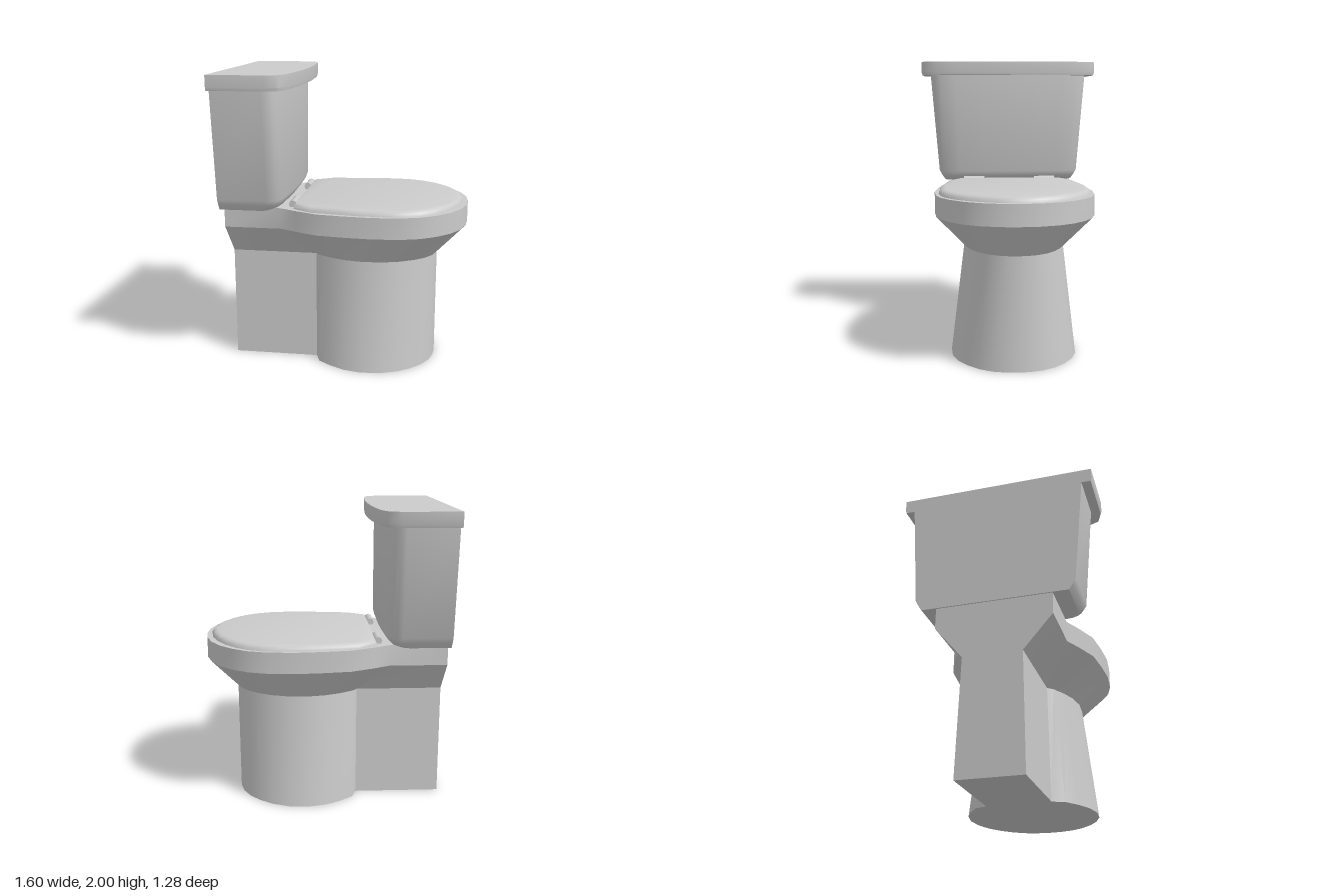
import * as THREE from 'three';
import { toCreasedNormals } from 'three/addons/utils/BufferGeometryUtils.js';

const material = new THREE.MeshStandardMaterial({ color: 0xcccccc });

// Half outline [x, z] from back to front, mirrored across z = 0
function mirrored(half) {
  const other = half.filter(([, z]) => z > 0).reverse().map(([x, z]) => [x, -z]);
  return [...half, ...other];
}

// Closed solid through stacked outlines: sections = [[y, halfOutline], ...]
function loft(name, sections, crease) {
  const rings = sections.map(([y, half]) => mirrored(half).map(([x, z]) => [x, y, z]));
  const n = rings[0].length;
  const positions = rings.flat(2);
  const index = [];
  for (let r = 0; r < rings.length - 1; r++) {
    for (let i = 0; i < n; i++) {
      const j = (i + 1) % n;
      const a = r * n + i, b = r * n + j, c = b + n, d = a + n;
      index.push(a, b, c, a, c, d);
    }
  }
  const cap = (ring) => THREE.ShapeUtils.triangulateShape(
    ring.map(([x, , z]) => new THREE.Vector2(x, -z)), []);
  const top = (rings.length - 1) * n;
  for (const [a, b, c] of cap(rings[0])) index.push(a, c, b);
  for (const [a, b, c] of cap(rings[rings.length - 1])) index.push(top + a, top + b, top + c);

  const geometry = new THREE.BufferGeometry();
  geometry.setAttribute('position', new THREE.Float32BufferAttribute(positions, 3));
  geometry.setIndex(index);
  const mesh = new THREE.Mesh(toCreasedNormals(geometry, crease), material);
  mesh.name = name;
  return mesh;
}

// Outline widened or narrowed about the back plane, to a given half width and front
function fit(half, width, front, back = half[0][0]) {
  const x0 = half[0][0];
  const x1 = half[half.length - 1][0];
  const maxZ = Math.max(...half.map((p) => p[1]));
  return half.map(([x, z]) => [back + (x - x0) * (front - back) / (x1 - x0), z * width / maxZ]);
}

export function createModel() {
  const group = new THREE.Group();

  // Pedestal: narrow back block running into a rounded column
  const foot = [[-0.8, 0.21], [-0.22, 0.21], [-0.19, 0.29], [-0.1, 0.355], [0, 0.405], [0.12, 0.43],
    [0.25, 0.42], [0.36, 0.38], [0.45, 0.32], [0.52, 0.25], [0.57, 0.165], [0.593, 0.08], [0.6, 0]];
  const neck = foot.map(([x, z], i) => [x, i < 2 ? 0.19 : z * 0.78]);
  group.add(loft('pedestal', [[0, foot], [0.76, neck]], 0.6));

  // Bowl: flare up to an upright rim
  const rim = [[-0.8, 0.375], [-0.42, 0.375], [-0.31, 0.43], [-0.16, 0.495], [0.02, 0.518], [0.2, 0.53],
    [0.38, 0.515], [0.5, 0.48], [0.6, 0.42], [0.69, 0.335], [0.75, 0.24], [0.79, 0.12], [0.8, 0]];
  group.add(loft('bowl', [[0.76, neck], [0.98, rim], [1.12, rim]], 0.6));

  // Seat cover with a softened upper edge
  const seat = [[-0.33, 0.38], [-0.21, 0.455], [0.12, 0.5], [0.31, 0.5], [0.41, 0.485], [0.5, 0.45],
    [0.58, 0.395], [0.655, 0.315], [0.71, 0.225], [0.75, 0.12], [0.768, 0]];
  group.add(loft('seatCover', [
    [1.12, seat],
    [1.137, fit(seat, 0.495, 0.763)],
    [1.15, fit(seat, 0.482, 0.752, -0.323)],
    [1.156, fit(seat, 0.46, 0.735, -0.315)],
  ], 0.9));

  // Seat hinges
  for (const side of [1, -1]) {
    const hinge = new THREE.Mesh(new THREE.CylinderGeometry(0.027, 0.027, 0.15, 8), material);
    hinge.name = 'seatHinge';
    hinge.rotation.x = Math.PI / 2;
    hinge.position.set(-0.345, 1.138, side * 0.26);
    group.add(hinge);
  }

  // Tank: flat back, bowed front, rounded lower edge
  const tank = [[-0.8, 0.575], [-0.48, 0.575], [-0.445, 0.568], [-0.415, 0.547], [-0.395, 0.5],
    [-0.383, 0.4], [-0.374, 0.2], [-0.37, 0]];
  group.add(loft('tank', [
    [1.125, fit(tank, 0.475, -0.45)],
    [1.14, fit(tank, 0.485, -0.405)],
    [1.165, fit(tank, 0.5, -0.385)],
    [1.2, fit(tank, 0.518, -0.37)],
    [1.91, tank],
  ], 0.85));

  // Tank lid
  const lid = [[-0.8, 0.64], [-0.44, 0.64], [-0.36, 0.61], [-0.325, 0.525], [-0.31, 0.4],
    [-0.295, 0.2], [-0.29, 0]];
  group.add(loft('tankLid', [[1.905, fit(lid, 0.634, -0.294)], [1.925, lid], [2, lid]], 0.85));

  return group;
}
